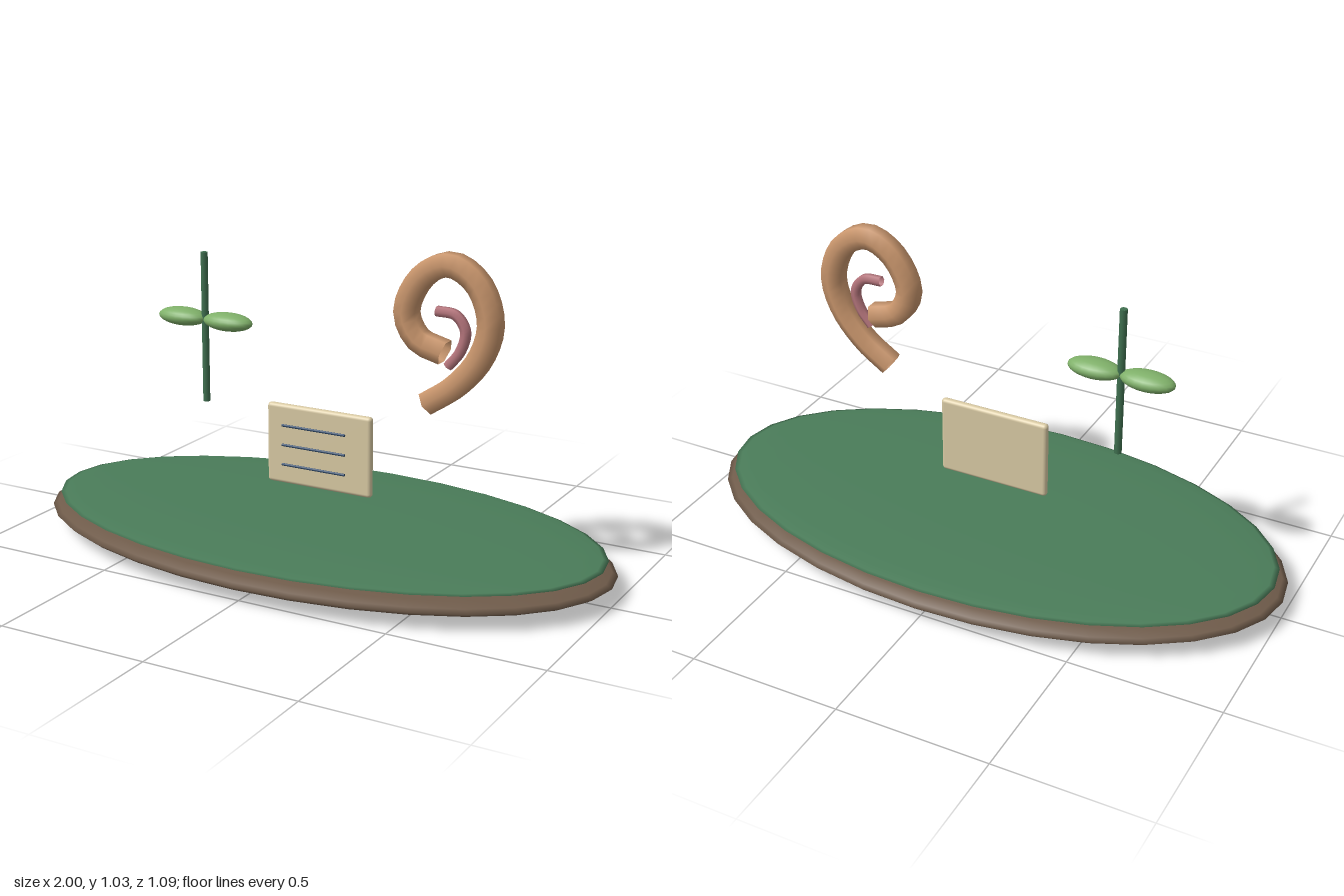
import * as THREE from 'three';
import { RoundedBoxGeometry } from 'three/addons/geometries/RoundedBoxGeometry.js';

export function createModel() {
  const model = new THREE.Group();
  model.name = 'display';

  const add = (name, geometry, color, x = 0, y = 0, z = 0) => {
    const mesh = new THREE.Mesh(geometry, new THREE.MeshStandardMaterial({ color }));
    mesh.name = name;
    mesh.position.set(x, y, z);
    model.add(mesh);
    return mesh;
  };

  const ellipsoid = (rx, ry, rz, w = 32, h = 16) =>
    new THREE.SphereGeometry(1, w, h).scale(rx, ry, rz);

  // Open-ended hexagonal tube through points in the z = 0 plane
  const bentTube = (name, points, radius, color) => {
    const curve = new THREE.CatmullRomCurve3(points.map(([x, y]) => new THREE.Vector3(x, y, 0)));
    const mesh = add(name, new THREE.TubeGeometry(curve, 32, radius, 6), color);
    mesh.material.side = THREE.DoubleSide;
  };

  // Oval ground with a mossy top
  add('base', ellipsoid(1, 0.06, 0.545), 0x6f5b4a, 0, 0.06, 0);
  add('moss', ellipsoid(0.97, 0.02, 0.52), 0x4a7c59, 0, 0.105, 0);

  // Sprout: upright stem with a leaf on each side
  add('stem', new THREE.CylinderGeometry(0.012, 0.012, 0.5, 10), 0x3f6f4f, -0.43, 0.692, 0);
  for (const side of [-1, 1]) {
    add(side < 0 ? 'rightLeaf' : 'leftLeaf', ellipsoid(0.09, 0.03, 0.047, 20, 12),
      0x7fb069, -0.43 + side * 0.087, 0.72, 0);
  }

  // Card with three written lines on its front
  add('card', new RoundedBoxGeometry(0.38, 0.267, 0.026, 3, 0.012), 0xd8c9a3, 0, 0.341, 0);
  for (const y of [0.275, 0.341, 0.407]) {
    add('cardLine', new THREE.CylinderGeometry(0.0045, 0.0045, 0.23, 8).rotateZ(Math.PI / 2),
      0x2f4a6b, -0.014, y, 0.02);
  }

  // Curled ear with an inner fold
  bentTube('outerEar', [
    [0.38, 0.55], [0.475, 0.617], [0.555, 0.715], [0.584, 0.825], [0.54, 0.94],
    [0.45, 0.99], [0.358, 0.945], [0.304, 0.83], [0.345, 0.748], [0.435, 0.717],
  ], 0.042, 0xc8956c);
  bentTube('innerEar', [
    [0.405, 0.843], [0.47, 0.836], [0.502, 0.79], [0.487, 0.727], [0.447, 0.675],
  ], 0.017, 0xb5757c);

  return model;
}
